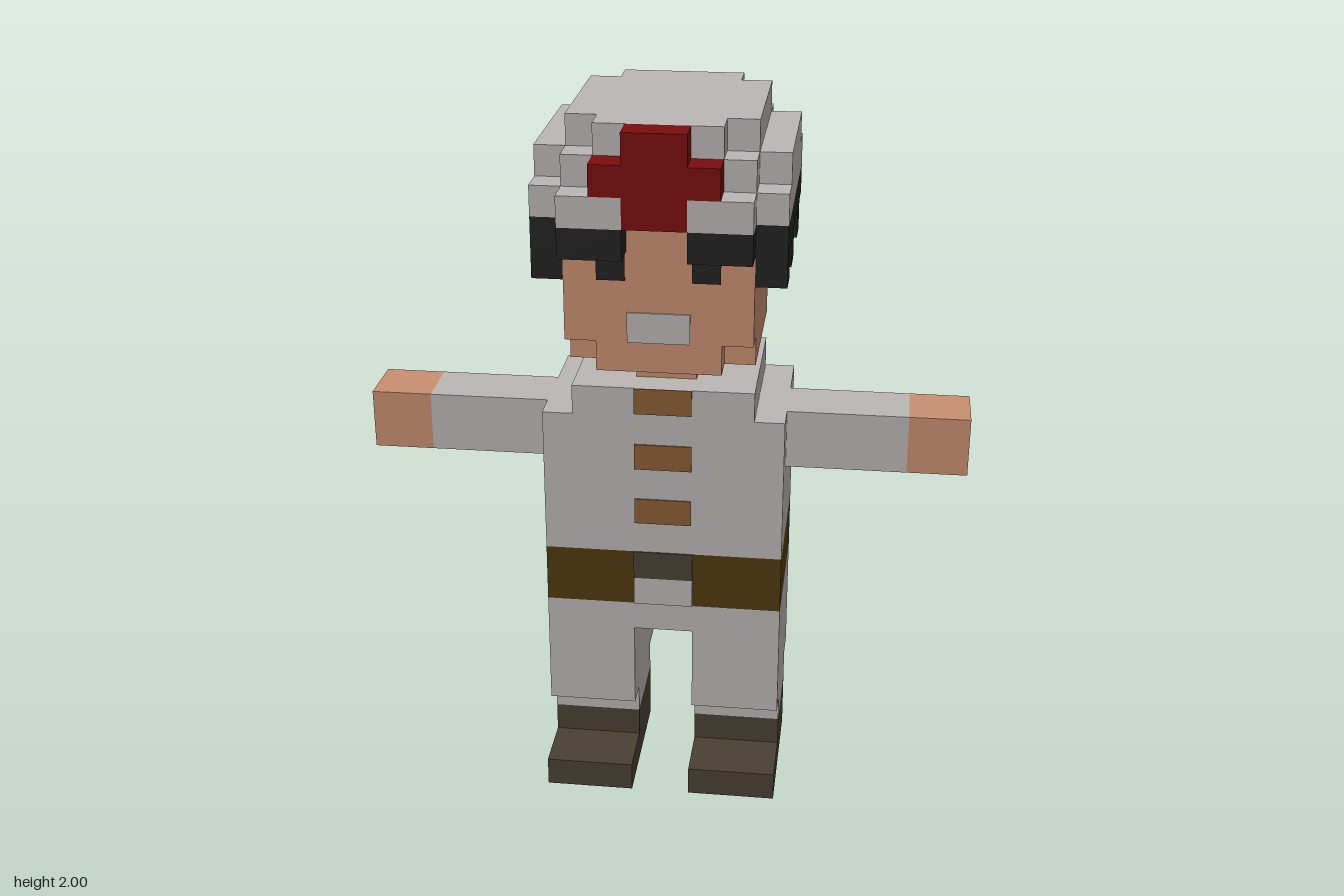
import * as THREE from 'three';

const U = 1 / 12; // one block

export function createModel() {
  const group = new THREE.Group();
  group.name = 'blockFigure';

  const mat = (name, color) => {
    const m = new THREE.MeshStandardMaterial({ color });
    m.name = name;
    return m;
  };
  const cloth = mat('paleGreyCloth', 0xbbb7b5);
  const skin = mat('skin', 0xc98f72);
  const hair = mat('blackHair', 0x222322);
  const red = mat('darkRed', 0x7b0d0f);
  const belt = mat('brownBelt', 0x4f390f);
  const boot = mat('darkBoot', 0x4a4033);
  const button = mat('buttonBrown', 0x8b5f35);

  // Box between two corners, in block units
  const box = (name, m, x0, x1, y0, y1, z0, z1) => {
    const g = new THREE.BoxGeometry((x1 - x0) * U, (y1 - y0) * U, (z1 - z0) * U);
    const mesh = new THREE.Mesh(g, m);
    mesh.name = name;
    mesh.position.set((x0 + x1) / 2 * U, (y0 + y1) / 2 * U, (z0 + z1) / 2 * U);
    group.add(mesh);
  };
  // The same box on both sides of the body
  const pair = (name, m, x0, x1, ...rest) => {
    box(name + 'Left', m, x0, x1, ...rest);
    box(name + 'Right', m, -x1, -x0, ...rest);
  };
  // One-block slab w by d (half sizes) with its four corner blocks missing
  const slab = (name, m, w, d, y) => {
    const quarter = [[w, d - 1], [w - 1, d - 1], [w - 1, d]];
    const back = [...quarter].reverse();
    const pts = [
      ...quarter,
      ...back.map(([x, z]) => [-x, z]),
      ...quarter.map(([x, z]) => [-x, -z]),
      ...back.map(([x, z]) => [x, -z]),
    ];
    const shape = new THREE.Shape(pts.map(([x, z]) => new THREE.Vector2(x * U, z * U)));
    const g = new THREE.ExtrudeGeometry(shape, { depth: U, bevelEnabled: false });
    g.rotateX(-Math.PI / 2);
    const mesh = new THREE.Mesh(g, m);
    mesh.name = name;
    mesh.position.y = y * U;
    group.add(mesh);
  };
  // Thin painted plate on a front face
  const plate = (name, m, x0, x1, y0, y1, z) => box(name, m, x0, x1, y0, y1, z, z + 0.05);

  // Boots and legs
  pair('bootToe', boot, 1, 4, 0, 1, 1.5, 3.5);
  pair('boot', boot, 1, 4, 0, 2, -1.5, 1.5);
  pair('ankle', cloth, 1, 4, 2, 3, -1.5, 1.5);
  pair('leg', cloth, 1, 4, 3, 6, -2.5, 2.5);

  // Torso, belt and shoulders
  box('hips', cloth, -4, 4, 6, 7, -2.5, 2.5);
  box('belt', belt, -4, 4, 7, 9, -2.5, 2.5);
  plate('buckle', boot, -1, 1, 8, 9, 2.5);
  plate('beltGap', cloth, -1, 1, 7, 8, 2.5);
  box('chest', cloth, -4, 4, 9, 14, -2.5, 2.5);
  box('shoulders', cloth, -3, 3, 14, 15, -2.5, 2.5);
  for (const y of [10, 12, 14]) plate('button', button, -0.95, 0.95, y + 0.1, y + 1, 2.5);

  // Arms
  pair('sleeve', cloth, 4, 8, 12, 14, -0.5, 1.5);
  pair('hand', skin, 8, 10, 12, 14, -0.5, 1.5);

  // Neck and head
  box('neck', skin, -1, 1, 15, 16, -1.5, 1.5);
  slab('jaw', skin, 3, 3.5, 16);
  box('head', skin, -3, 3, 17, 21, -3.5, 3.5);
  plate('mouth', cloth, -1, 1, 17, 18, 3.5);

  // Hair band and locks
  const rim = (name, m, y) => {
    pair(name + 'Side', m, 3, 4, y, y + 1, -3.5, 3.5);
    box(name + 'Back', m, -3, 3, y, y + 1, -4.5, -3.5);
    pair(name + 'Front', m, 1, 3, y, y + 1, 3.5, 4.5);
  };
  rim('hair', hair, 20);
  for (const z of [-2.5, 0.5, 2.5]) pair('sideLock', hair, 3, 4, 19, 20, z, z + 1);
  for (const x of [-3, -1, 2]) box('backLock', hair, x, x + 1, 19, 20, -4.5, -3.5);
  for (const x of [-2, 1]) plate('fringe', hair, x + 0.05, x + 0.95, 19.05, 20, 3.5);

  // Stepped cap with a raised cross on the front
  box('capBase', cloth, -3, 3, 21, 22, -3.5, 3.5);
  rim('cap', cloth, 21);
  slab('capMiddle', cloth, 4, 3.5, 22);
  slab('capTop', cloth, 3, 3.5, 23);
  box('crossUpright', red, -1, 1, 21, 24, 3.5, 4.5);
  pair('crossArm', red, 1, 2, 22, 23, 3.5, 4.5);

  return group;
}
